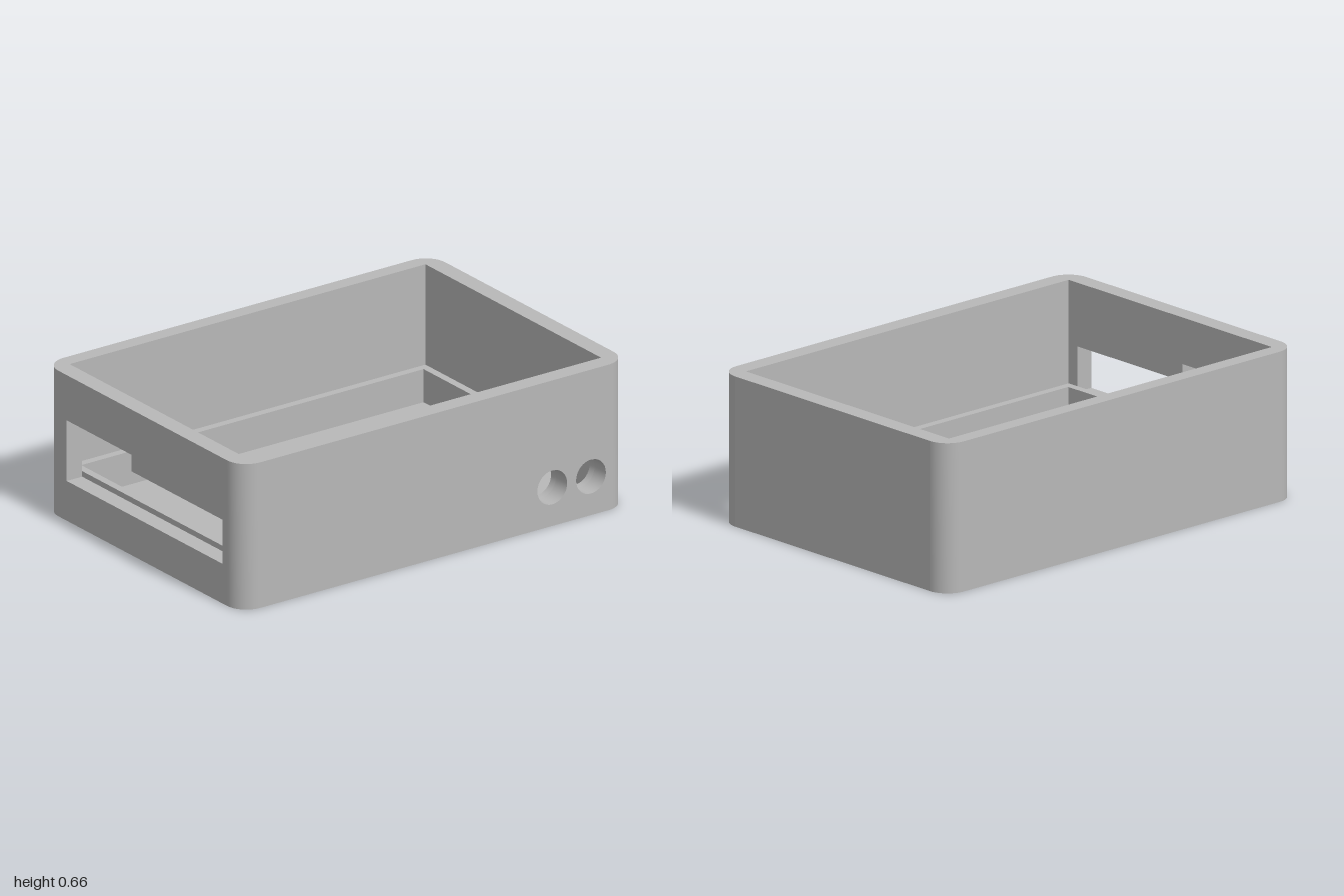
import * as THREE from 'three';
import { toCreasedNormals } from 'three/addons/utils/BufferGeometryUtils.js';

const HX = 1, HZ = 0.7, H = 0.66, R = 0.1;            // outer half sizes, height, corner radius
const IX = 0.92, ZF = 0.62, ZB = 0.63;                // cavity: half width, front and back depth
const LX = 0.885, LF = 0.585, LB = 0.595;             // inside of the ledge
const FLOOR = 0.055, LEDGE = 0.205;                   // heights
const HOLES = [0.61, 0.81], HOLE_Y = 0.175, HOLE_R = 0.077;

export function createModel() {
  const group = new THREE.Group();
  const grey = new THREE.MeshStandardMaterial({ color: 0xb8b8b8 });
  grey.name = 'grey plastic';

  const add = (name, geometry) => {
    const mesh = new THREE.Mesh(geometry, grey);
    mesh.name = name;
    group.add(mesh);
  };
  const box = (name, x0, x1, y0, y1, z0, z1) => {
    const g = new THREE.BoxGeometry(x1 - x0, y1 - y0, z1 - z0);
    add(name, g.translate((x0 + x1) / 2, (y0 + y1) / 2, (z0 + z1) / 2));
  };
  const extrude = (shape, depth) => new THREE.ExtrudeGeometry(shape, { depth, bevelEnabled: false, curveSegments: 16 });
  const polygon = (pts) => new THREE.Shape(pts.map(([x, y]) => new THREE.Vector2(x, y)));
  const smooth = (g) => toCreasedNormals(g, 0.6);

  // rounded corner posts, drawn in plan and extruded downwards
  for (const sx of [1, -1]) {
    for (const sz of [1, -1]) {
      const inner = sz > 0 ? ZF : ZB;
      const pts = [];
      for (let i = 0; i <= 12; i++) {
        const a = (i / 12) * Math.PI / 2;
        pts.push([sx * (HX - R + R * Math.cos(a)), sz * (HZ - R + R * Math.sin(a))]);
      }
      pts.push([sx * (HX - R), sz * inner], [sx * IX, sz * inner], [sx * IX, sz * (HZ - R)]);
      add('cornerPost', smooth(extrude(polygon(pts), H).rotateX(Math.PI / 2).translate(0, H, 0)));
    }
  }

  // plain walls
  box('backWall', -HX + R, HX - R, 0, H, -HZ, -ZB);
  box('leftWall', IX, HX, 0, H, -HZ + R, HZ - R);

  // front wall with two round holes
  const front = polygon([[-HX + R, 0], [HX - R, 0], [HX - R, H], [-HX + R, H]]);
  for (const x of HOLES) {
    const hole = new THREE.Path();
    hole.absarc(x, HOLE_Y, HOLE_R, 0, Math.PI * 2, true);
    front.holes.push(hole);
  }
  add('frontWall', smooth(extrude(front, HZ - ZF).translate(0, 0, ZF)));

  // side wall with a stepped window, drawn in z and y
  const side = polygon([[-HZ + R, 0], [HZ - R, 0], [HZ - R, H], [-HZ + R, H]]);
  side.holes.push(polygon([
    [-0.54, 0.18], [-0.54, 0.455], [-0.08, 0.455], [-0.08, 0.38], [0.567, 0.38], [0.567, 0.18],
  ]));
  add('windowWall', extrude(side, HX - IX).rotateY(-Math.PI / 2).translate(-IX, 0, 0));

  // floor and the ledge around it
  box('floor', -IX, IX, 0, FLOOR, -ZB, ZF);
  box('backLedge', -IX, IX, FLOOR, LEDGE, -ZB, -LB);
  for (const s of [1, -1]) {
    box('sideLedge', Math.min(s * LX, s * IX), Math.max(s * LX, s * IX), FLOOR, LEDGE, -LB, LF);
  }

  // front ledge, notched where the holes pass through
  const ledge = new THREE.Shape();
  const rise = Math.asin((LEDGE - HOLE_Y) / HOLE_R);
  ledge.moveTo(IX, FLOOR);
  ledge.lineTo(IX, LEDGE);
  for (const x of [...HOLES].reverse()) {
    ledge.absarc(x, HOLE_Y, HOLE_R, rise, Math.PI - rise, true);
  }
  ledge.lineTo(-IX, LEDGE);
  ledge.lineTo(-IX, FLOOR);
  add('frontLedge', smooth(extrude(ledge, ZF - LF).translate(0, 0, LF)));

  return group;
}
